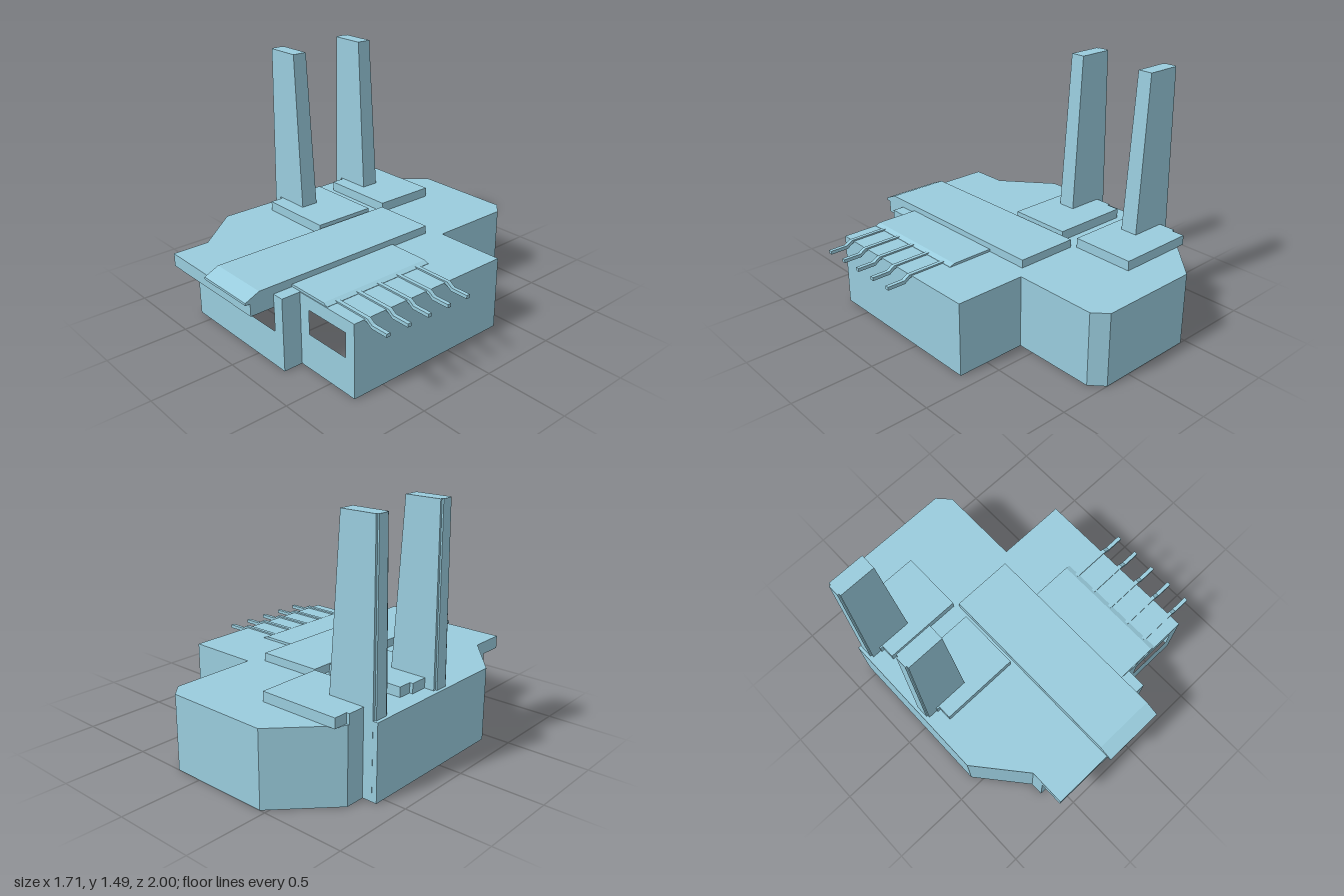
import * as THREE from 'three';

const mat = new THREE.MeshStandardMaterial({ color: 0x99ccdd, flatShading: true, side: THREE.DoubleSide });
const ROOF = 0.45;

function add(parent, name, geometry) {
  const mesh = new THREE.Mesh(geometry, mat);
  mesh.name = name;
  parent.add(mesh);
  return mesh;
}

const toShape = (pts) => new THREE.Shape(pts.map(([a, b]) => new THREE.Vector2(a, b)));

// Box given by its limits on each axis
function block(x0, x1, y0, y1, z0, z1) {
  return new THREE.BoxGeometry(x1 - x0, y1 - y0, z1 - z0)
    .translate((x0 + x1) / 2, (y0 + y1) / 2, (z0 + z1) / 2);
}

// Profile in (x, y), extruded from z0 to z1
function alongZ(profile, z0, z1) {
  return new THREE.ExtrudeGeometry(toShape(profile), { depth: z1 - z0, bevelEnabled: false }).translate(0, 0, z0);
}

// Profile in (z, y), extruded from x0 to x1
function alongX(profile, x0, x1) {
  return new THREE.ExtrudeGeometry(toShape(profile), { depth: x1 - x0, bevelEnabled: false })
    .rotateY(-Math.PI / 2).translate(x1, 0, 0);
}

// Box whose top has its own limits: [x0, x1, z0, z1]
function taperedBlock(bottom, top, y0, y1) {
  const g = new THREE.BoxGeometry(1, 1, 1);
  const p = g.attributes.position;
  for (let i = 0; i < p.count; i++) {
    const r = p.getY(i) > 0 ? top : bottom;
    p.setXYZ(i, p.getX(i) > 0 ? r[1] : r[0], p.getY(i) > 0 ? y1 : y0, p.getZ(i) > 0 ? r[3] : r[2]);
  }
  g.computeVertexNormals();
  return g;
}

// Thin upright wall from a to b; hole = [start, end, y0, y1] along the wall
function wall([ax, az], [bx, bz], hole) {
  const len = Math.hypot(bx - ax, bz - az);
  const s = toShape([[0, 0], [len, 0], [len, ROOF], [0, ROOF]]);
  if (hole) {
    const [u0, u1, y0, y1] = hole;
    s.holes.push(toShape([[u0, y0], [u0, y1], [u1, y1], [u1, y0]]));
  }
  return new THREE.ShapeGeometry(s).rotateY(-Math.atan2(bz - az, bx - ax)).translate(ax, 0, az);
}

export function createModel() {
  const model = new THREE.Group();
  model.name = 'factory';

  // Building shell, open underneath; plan points are (x, z)
  const plan = [
    [-0.61, 0.82], [0.245, 0.82], [0.245, 0.70], [0.69, 0.70], [0.69, -0.40], [0.245, -0.40],
    [0.245, -0.92], [0.17, -1], [-0.465, -1], [-0.77, -0.68], [-0.77, -0.56], [-0.86, -0.56],
    [-0.86, 0.44], [-0.61, 0.74],
  ];
  const openings = { 0: [0.51, 0.78, 0.22, 0.37], 2: [0.075, 0.375, 0.22, 0.37] };
  const shell = new THREE.Group();
  shell.name = 'buildingShell';
  model.add(shell);
  plan.forEach((a, i) => add(shell, 'wall', wall(a, plan[(i + 1) % plan.length], openings[i])));
  add(shell, 'roof', new THREE.ShapeGeometry(toShape(plan.map(([x, z]) => [x, -z])))
    .rotateX(-Math.PI / 2).translate(0, ROOF, 0));

  // Canopy over the front opening
  add(model, 'frontCanopy', block(-0.61, 0.17, 0.37, ROOF, 0.82, 0.97));

  // Long raised roof strip with a sloping front end
  add(model, 'roofStrip', alongX(
    [[-0.33, 0.445], [1, 0.445], [1, 0.46], [0.91, 0.5], [-0.33, 0.5]], -0.225, 0.17));

  // Low side panel with a bevelled edge
  add(model, 'sidePanel', alongZ(
    [[0.17, 0.445], [0.47, 0.445], [0.47, 0.452], [0.44, 0.465], [0.17, 0.465]], -0.05, 0.695));

  // Pipes running over the side of the annexe
  const pipe = [[0.455, 0.44], [0.70, 0.44], [0.735, 0.415], [0.85, 0.415],
    [0.85, 0.436], [0.74, 0.436], [0.705, 0.459], [0.455, 0.459]];
  for (let i = 0; i < 5; i++) {
    const z = 0.03 + i * 0.146;
    add(model, 'sidePipe', alongZ(pipe, z - 0.012, z + 0.012));
  }

  // Two chimneys on roof pads, with shafts reaching down inside
  for (const z of [0.015, -0.505]) {
    const stack = new THREE.Group();
    stack.name = 'chimneyUnit';
    stack.position.z = z;
    model.add(stack);
    add(stack, 'roofPad', block(-0.75, -0.25, ROOF, 0.51, -0.25, 0.15));
    add(stack, 'padTab', block(-0.77, -0.75, ROOF, 0.51, -0.165, 0.065));
    add(stack, 'chimney', taperedBlock([-0.83, -0.54, -0.056, 0.056], [-0.82, -0.6, -0.047, 0.047], 0.5, 1.49));
    add(stack, 'chimneyRib', taperedBlock([-0.84, -0.82, -0.04, 0.04], [-0.83, -0.81, -0.034, 0.034], ROOF, 1.49));
    add(stack, 'chimneyShaft', block(-0.83, -0.54, 0.05, 0.5, -0.056, 0.056));
  }

  return model;
}
